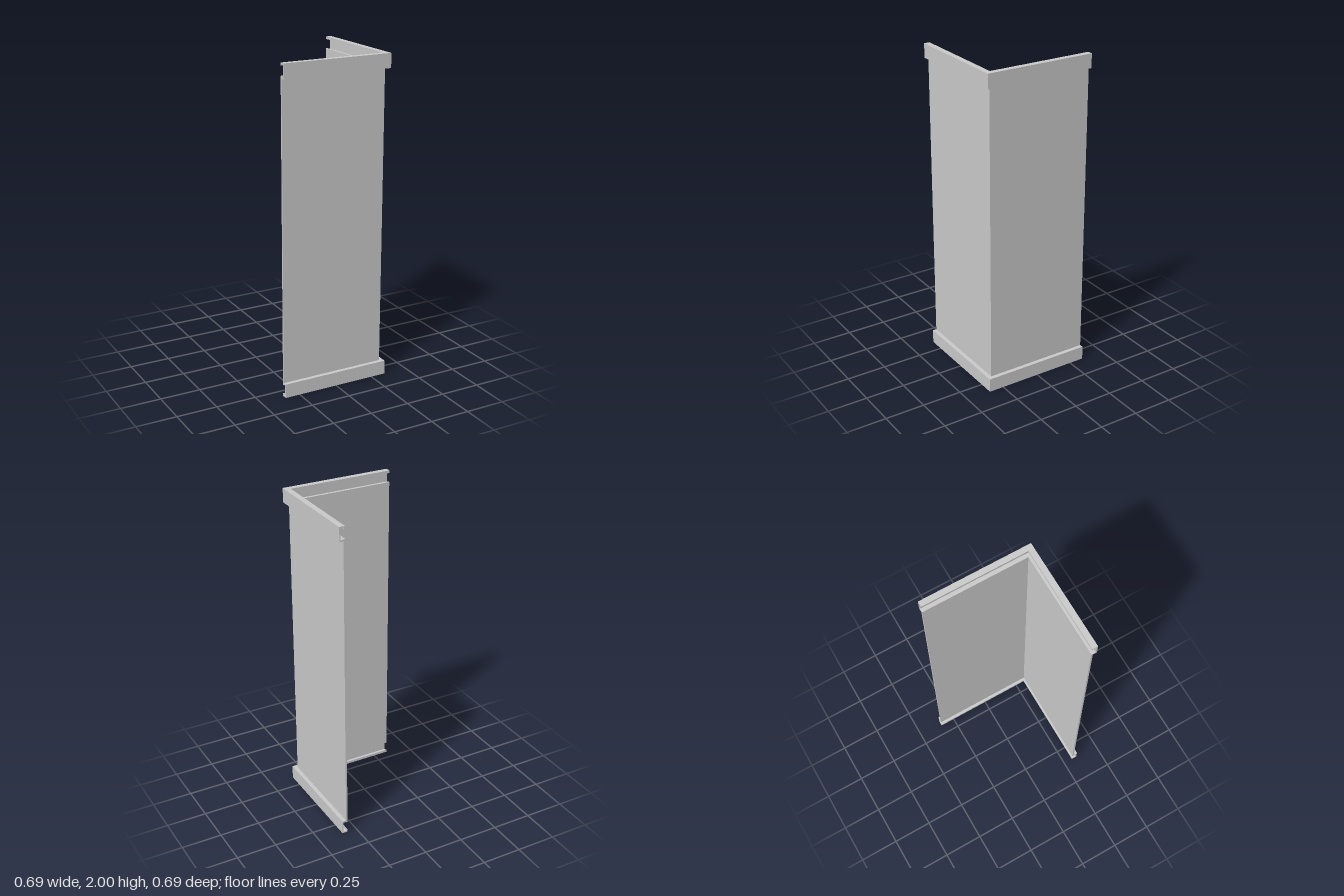
import * as THREE from 'three';

const OUT = 0.345; // outer face and open-end distance from the centre

const material = new THREE.MeshStandardMaterial({ color: 0xcccccc, flatShading: true });

// L-shaped bar wrapping the front/left corner, from inner to outer offset, y0 to y1
function cornerBar(name, inner, outer, y0, y1) {
  const shape = new THREE.Shape([
    [-OUT, -outer], [outer, -outer], [outer, OUT],
    [inner, OUT], [inner, -inner], [-OUT, -inner],
  ].map(([x, y]) => new THREE.Vector2(x, y)));
  const geo = new THREE.ExtrudeGeometry(shape, { depth: y1 - y0, bevelEnabled: false });
  geo.rotateX(-Math.PI / 2);
  geo.translate(0, y0, 0);
  const mesh = new THREE.Mesh(geo, material);
  mesh.name = name;
  return mesh;
}

// Channel rail, open towards the inside: [part, inner, outer, from edge, to edge]
const railParts = [
  ['Web', 0.337, OUT, 0, 0.087],
  ['EdgeFlange', 0.31, 0.337, 0, 0.008],
  ['EdgeLip', 0.31, 0.316, 0.008, 0.016],
  ['PanelFlange', 0.32, 0.337, 0.077, 0.087],
];

function rail(name, isTop) {
  const group = new THREE.Group();
  group.name = name;
  for (const [part, inner, outer, a, b] of railParts) {
    group.add(cornerBar(name + part, inner, outer, isTop ? 2 - b : a, isTop ? 2 - a : b));
  }
  return group;
}

export function createModel() {
  const model = new THREE.Group();
  model.name = 'cornerPanel';
  // Thin sheet bent round the corner, held by a rail at each end
  model.add(cornerBar('panel', 0.31, 0.32, 0.073, 1.927));
  model.add(rail('bottomRail', false), rail('topRail', true));
  return model;
}
